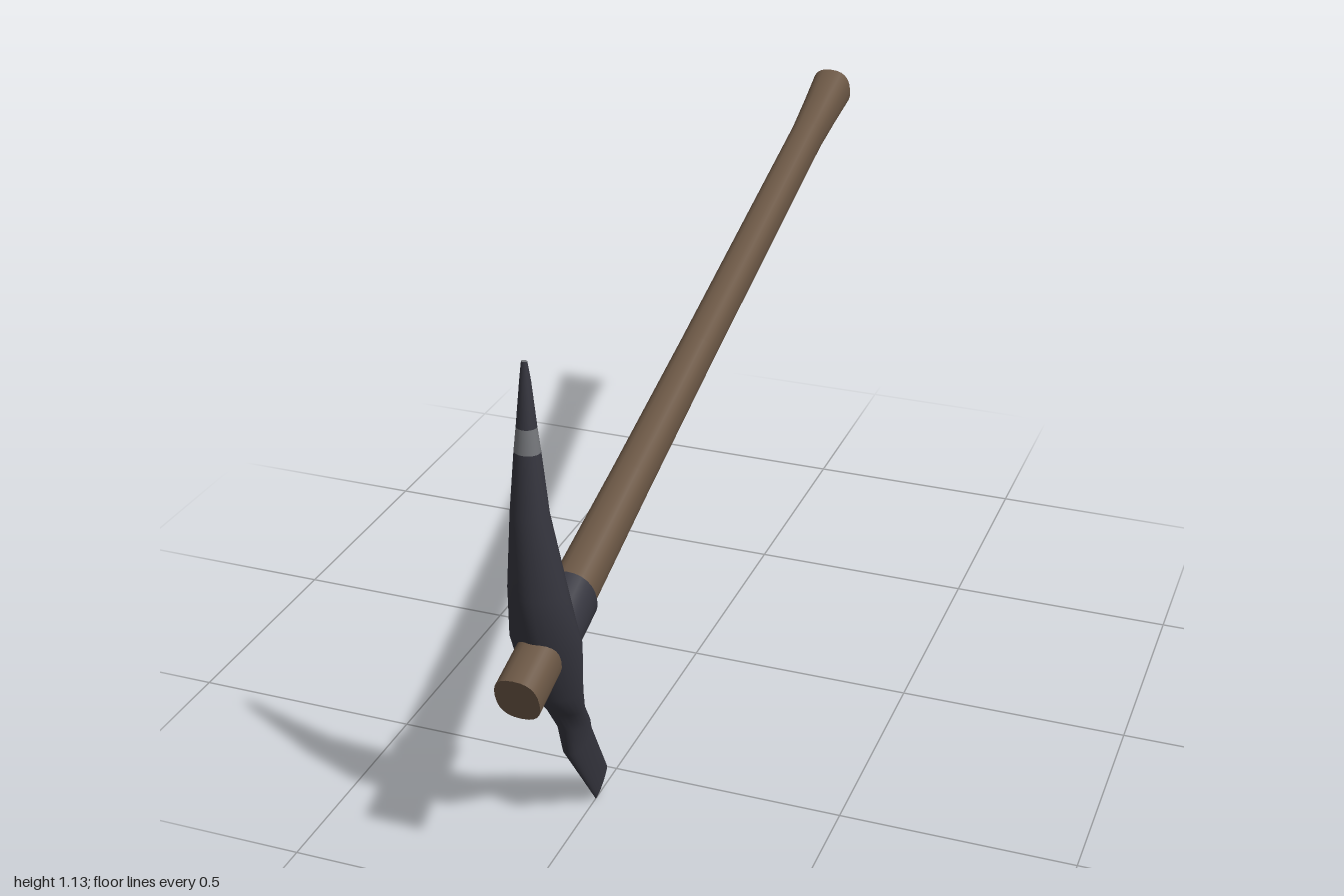
import * as THREE from 'three';

const wood = new THREE.MeshStandardMaterial({ color: 0x6b5745 });
wood.name = 'brown wood';
const iron = new THREE.MeshStandardMaterial({ color: 0x36363f });
iron.name = 'dark iron';
const steel = new THREE.MeshStandardMaterial({ color: 0x75777b });
steel.name = 'worn steel';

const SIDES = 24;

// Skins a row of rounded sections. Each section: [z1, y1, z2, y2, halfWidthX, exponent].
// pick(station, side) gives the material index of a face.
function loft(sections, materials, pick = () => 0) {
  const pos = [];
  const faces = materials.map(() => []);
  const ring = ([z1, y1, z2, y2, w, p = 2]) => {
    for (let j = 0; j < SIDES; j++) {
      const a = (j / SIDES) * Math.PI * 2;
      const c = Math.sign(Math.cos(a)) * Math.abs(Math.cos(a)) ** (2 / p);
      const s = Math.sign(Math.sin(a)) * Math.abs(Math.sin(a)) ** (2 / p);
      pos.push(s * w, (y1 + y2) / 2 + (c * (y1 - y2)) / 2, (z1 + z2) / 2 + (c * (z1 - z2)) / 2);
    }
  };
  sections.forEach(ring);
  for (let i = 0; i < sections.length - 1; i++) {
    for (let j = 0; j < SIDES; j++) {
      const k = (j + 1) % SIDES;
      const a = i * SIDES + j, b = i * SIDES + k;
      faces[pick(i, j)].push(a, b, a + SIDES, b, b + SIDES, a + SIDES);
    }
  }
  // Flat end caps with their own vertices
  const cap = (s, station, atEnd) => {
    const base = pos.length / 3;
    ring(s);
    pos.push(0, (s[1] + s[3]) / 2, (s[0] + s[2]) / 2);
    for (let j = 0; j < SIDES; j++) {
      const a = base + j, b = base + ((j + 1) % SIDES);
      faces[pick(station, 0)].push(base + SIDES, atEnd ? a : b, atEnd ? b : a);
    }
  };
  cap(sections[0], 0, false);
  cap(sections[sections.length - 1], sections.length - 1, true);

  const geo = new THREE.BufferGeometry();
  geo.setAttribute('position', new THREE.Float32BufferAttribute(pos, 3));
  geo.setIndex(faces.flat());
  let start = 0;
  faces.forEach((f, m) => {
    if (f.length) geo.addGroup(start, f.length, m);
    start += f.length;
  });
  geo.computeVertexNormals();
  return new THREE.Mesh(geo, materials);
}

// Section square to the handle's sloping axis: z position, half height, half width
const slope = (1.08 - 0.475) / (0.985 + 0.983);
const tilt = Math.atan(slope);
function across(z, h, w, p) {
  const y = 0.475 + (0.985 - z) * slope;
  const dz = h * Math.sin(tilt), dy = h * Math.cos(tilt);
  return [z + dz, y + dy, z - dz, y - dy, w, p];
}

export function createModel() {
  const group = new THREE.Group();
  group.name = 'pickaxe';

  // Handle, flared at the grip end
  const handle = loft([
    across(0.985, 0.053, 0.046, 2.5),
    across(0.7, 0.05, 0.045, 2.5),
    across(0.4, 0.046, 0.041, 2.5),
    across(0, 0.044, 0.038, 2.5),
    across(-0.78, 0.043, 0.037, 2.5),
    across(-0.88, 0.048, 0.041, 2.5),
    across(-0.983, 0.053, 0.047, 2.5),
  ], [wood]);
  handle.name = 'handle';
  group.add(handle);

  // Collar behind the head
  const collar = loft([
    across(0.85, 0.062, 0.056, 2.3),
    across(0.715, 0.064, 0.054, 2.3),
  ], [iron]);
  collar.name = 'collar';
  group.add(collar);

  // Head, from the chisel edge at the bottom up to the pointed tip
  const headSections = [
    [0.618, 0.008, 0.553, 0.05, 0.004],
    [0.757, 0.206, 0.658, 0.225, 0.025],
    [0.767, 0.27, 0.676, 0.256, 0.031],
    [0.8, 0.33, 0.725, 0.32, 0.04],
    [0.864, 0.4, 0.757, 0.4, 0.058, 1.8],
    [0.903, 0.53, 0.786, 0.53, 0.075, 1.6],
    [0.933, 0.66, 0.817, 0.66, 0.059, 1.8],
    [0.933, 0.83, 0.863, 0.83, 0.038],
    [0.921, 0.96, 0.876, 0.96, 0.026],
    [0.917, 1.01, 0.88, 1.01, 0.02],
    [0.908, 1.1, 0.887, 1.1, 0.011],
    [0.903, 1.14, 0.894, 1.14, 0.006],
  ];
  // Worn steel: a band below the tip, the back of the tip and the very end
  const worn = (i, j) =>
    i === 8 || i === 11 || (i === 9 && Math.abs(j + 0.5 - SIDES / 2) < SIDES / 6) ? 1 : 0;
  const head = loft(headSections, [iron, steel], worn);
  head.name = 'head';
  group.add(head);

  return group;
}
